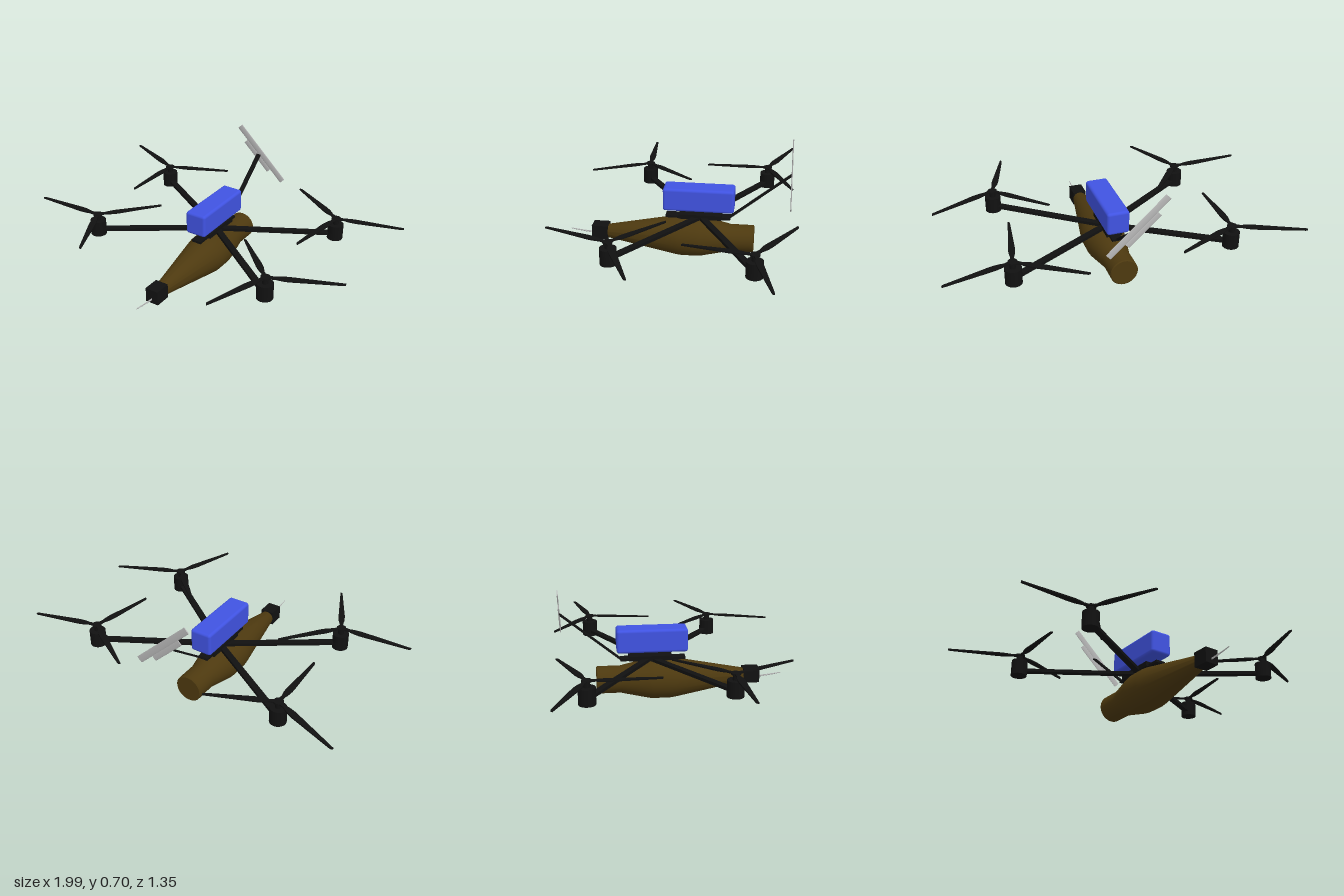
import * as THREE from 'three';
import { toCreasedNormals } from 'three/addons/utils/BufferGeometryUtils.js';
import { RoundedBoxGeometry } from 'three/addons/geometries/RoundedBoxGeometry.js';

const material = (name, color, side = THREE.FrontSide) => {
  const m = new THREE.MeshStandardMaterial({ color, side });
  m.name = name;
  return m;
};

export function createModel() {
  const black = material('carbon black', 0x111111);
  const brown = material('olive brown', 0x4d390f);
  const blue = material('battery blue', 0x4053e2);
  const grey = material('light grey', 0xb8b8b8);

  const model = new THREE.Group();
  model.name = 'quadcopter';

  function add(name, geometry, mat, x = 0, y = 0, z = 0, parent = model) {
    const mesh = new THREE.Mesh(geometry, mat);
    mesh.name = name;
    mesh.position.set(x, y, z);
    parent.add(mesh);
    return mesh;
  }

  // Tapered payload lying along z
  const profile = [
    [0, -0.43], [0.075, -0.43], [0.08, -0.425], [0.08, -0.29], [0.086, -0.265],
    [0.117, -0.125], [0.12, -0.1], [0.12, 0], [0.116, 0.03], [0.041, 0.435], [0.035, 0.45], [0, 0.45],
  ].map(([r, z]) => new THREE.Vector2(r, z));
  const payload = toCreasedNormals(new THREE.LatheGeometry(profile, 40), 0.6);
  payload.rotateX(Math.PI / 2);
  add('payload body', payload, brown, 0, 0.12, 0);

  // Nose block with its curved feeler wires
  add('nose block', new THREE.BoxGeometry(0.08, 0.085, 0.095), black, 0, 0.122, 0.484);
  for (const dy of [0, 0.014]) {
    const wire = new THREE.QuadraticBezierCurve3(
      new THREE.Vector3(0, 0.102 + dy * 0.5, 0.52),
      new THREE.Vector3(0, 0.105 + dy * 0.4, 0.58),
      new THREE.Vector3(0, 0.123, 0.668));
    add('nose wire', new THREE.TubeGeometry(wire, 10, 0.0025, 6), grey);
  }

  // Centre frame plates
  add('lower plate', new THREE.BoxGeometry(0.06, 0.014, 0.38), black, -0.005, 0.247, -0.1);
  add('upper plate', new THREE.BoxGeometry(0.09, 0.028, 0.25), black, -0.005, 0.256, -0.115);

  // Battery
  add('battery', new RoundedBoxGeometry(0.13, 0.138, 0.412, 3, 0.016), blue, -0.005, 0.364, -0.105);

  // Propeller blade outline, one unit long along x
  const outline = new THREE.Shape();
  outline.moveTo(0, -0.035);
  outline.lineTo(0.12, -0.022);
  outline.quadraticCurveTo(0.22, -0.055, 0.34, -0.05);
  outline.lineTo(0.97, -0.02);
  outline.quadraticCurveTo(1.0, -0.015, 1.0, 0.012);
  outline.lineTo(0.34, 0.042);
  outline.quadraticCurveTo(0.22, 0.05, 0.12, 0.022);
  outline.lineTo(0, 0.035);
  outline.closePath();
  const blade = new THREE.ExtrudeGeometry(outline, { depth: 0.008, bevelEnabled: false, curveSegments: 8 });
  blade.translate(0, 0, -0.004);
  blade.rotateX(-Math.PI / 2);

  // Blade angles (degrees) and lengths shared by every propeller
  const blades = [[0, 0.387], [113, 0.412], [-114, 0.389]];

  // Rotors: motor x, motor z, propeller angle
  const rotors = [
    [-0.604, -0.487, 90], [0.62, -0.455, 99], [-0.582, 0.277, 64], [0.577, 0.31, 223],
  ];
  const hubZ = -0.115;
  for (const [x, z, turn] of rotors) {
    const rotor = new THREE.Group();
    rotor.name = 'rotor';
    rotor.position.set(x, 0, z);
    model.add(rotor);

    // Arm running back to the frame centre
    const dx = -x, dz = hubZ - z;
    const length = Math.hypot(dx, dz);
    const arm = add('arm', new THREE.BoxGeometry(length, 0.018, 0.036), black, dx / 2, 0.244, dz / 2, rotor);
    arm.rotation.y = -Math.atan2(dz, dx);

    // Motor and shaft
    add('motor', new THREE.CylinderGeometry(0.046, 0.046, 0.092, 28), black, 0, 0.259, 0, rotor);
    add('shaft', new THREE.CylinderGeometry(0.017, 0.017, 0.04, 16), black, 0, 0.32, 0, rotor);
    add('propeller hub', new THREE.CylinderGeometry(0.027, 0.027, 0.01, 20), black, 0, 0.34, 0, rotor);
    for (const [angle, size] of blades) {
      const b = add('propeller blade', blade, black, 0, 0.34, 0, rotor);
      b.scale.set(size, 1, size);
      b.rotation.y = -THREE.MathUtils.degToRad(turn + angle);
    }
  }

  // Slanted antenna mast
  const foot = new THREE.Vector3(-0.012, 0.243, -0.28);
  const tip = new THREE.Vector3(-0.012, 0.526, -0.628);
  const mast = add('antenna mast', new THREE.BoxGeometry(0.027, 0.009, foot.distanceTo(tip)), black);
  mast.position.lerpVectors(foot, tip, 0.5);
  mast.rotation.x = Math.atan2(tip.y - foot.y, foot.z - tip.z);

  // Tilted antenna: a long and a short flat bar side by side
  const antenna = new THREE.Group();
  antenna.name = 'antenna';
  antenna.position.set(0.005, 0.535, -0.63);
  antenna.rotation.z = -0.76;
  model.add(antenna);
  for (const [length, width, along, across] of [[0.435, 0.04, 0, 0], [0.235, 0.034, -0.005, -0.034]]) {
    const bar = new THREE.CylinderGeometry(width / 2, width / 2, length, 20);
    bar.rotateZ(Math.PI / 2);
    bar.scale(1, 1, 0.16);
    add('antenna bar', bar, grey, along, across, 0, antenna);
  }

  return model;
}
